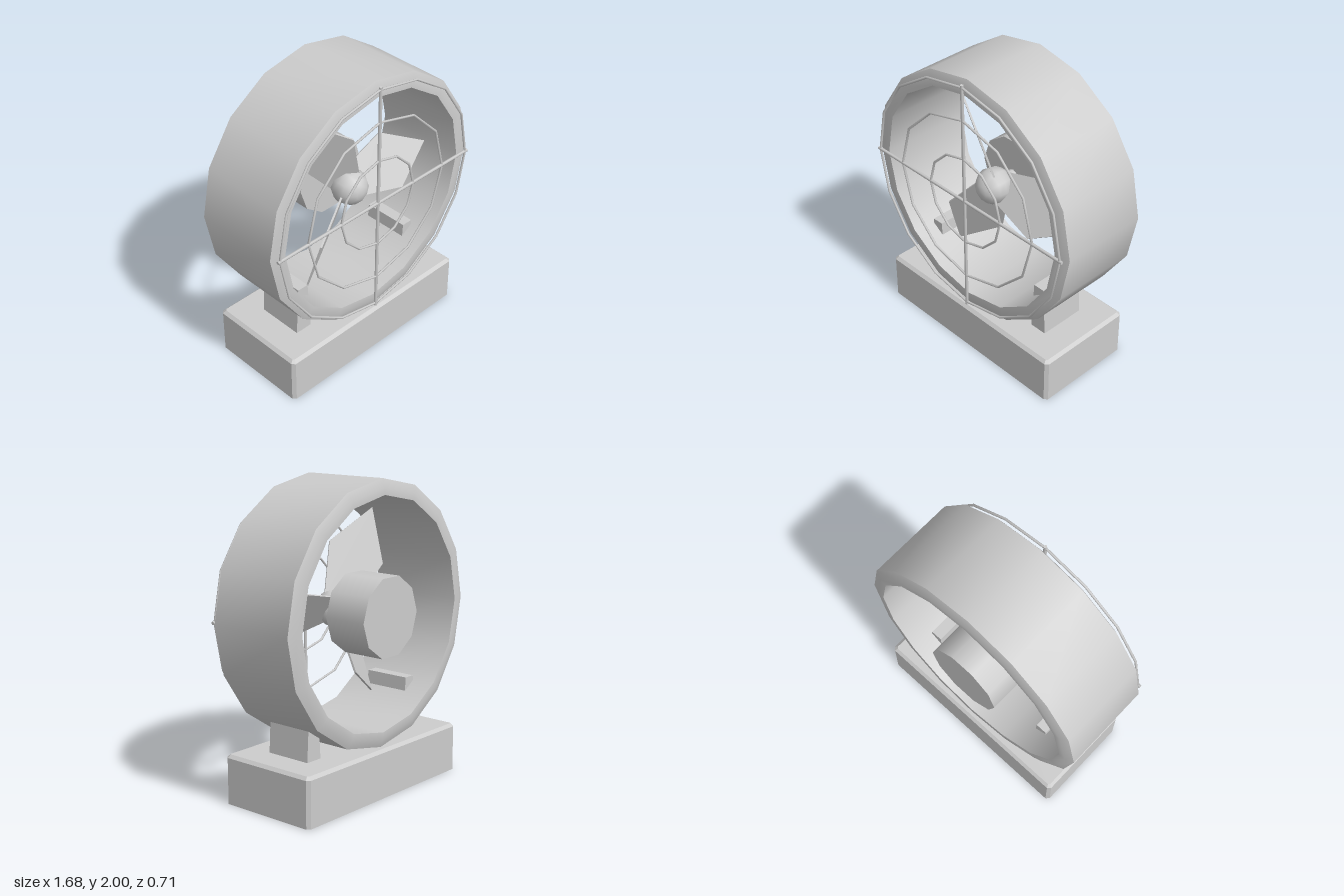
import * as THREE from 'three';
import { toCreasedNormals } from 'three/addons/utils/BufferGeometryUtils.js';

const AXIS_Y = 1.16; // height of the fan axis
const GUARD_Z = 0.346;

export function createModel() {
  const model = new THREE.Group();
  model.name = 'deskFan';
  const grey = new THREE.MeshStandardMaterial({ color: 0xcccccc, side: THREE.DoubleSide });
  grey.name = 'light grey';

  const add = (parent, name, geometry) => {
    const mesh = new THREE.Mesh(geometry, grey);
    mesh.name = name;
    parent.add(mesh);
    return mesh;
  };

  // Base: chamfered shell, open underneath
  const base = add(model, 'base', chamferedShell(0.73, 0.345, 0.3, 0.32, 0.02));
  base.position.z = 0.01;

  // Feet: tapered posts reaching into the housing
  for (const side of [1, -1]) {
    const geometry = new THREE.BoxGeometry(0.124, 0.38, 0.315);
    const p = geometry.attributes.position;
    for (let i = 0; i < p.count; i++) if (p.getY(i) > 0) p.setX(i, p.getX(i) * 0.63);
    geometry.computeVertexNormals();
    const foot = add(model, side > 0 ? 'leftFoot' : 'rightFoot', geometry);
    foot.position.set(side * 0.47, 0.47, 0.013);
  }

  const fan = new THREE.Group();
  fan.name = 'fan';
  fan.position.y = AXIS_Y;
  model.add(fan);

  // Housing: sixteen-sided ring with chamfered rims
  const profile = [
    [0.74, -0.305], [0.785, -0.305], [0.84, -0.283], [0.84, 0.305],
    [0.79, 0.325], [0.74, 0.325], [0.74, -0.305],
  ].map(([r, z]) => new THREE.Vector2(r, z));
  const ring = new THREE.LatheGeometry(profile, 16);
  ring.rotateX(Math.PI / 2);
  add(fan, 'housing', toCreasedNormals(ring, 0.45));

  // Motor and shaft
  const motor = new THREE.CylinderGeometry(0.26, 0.26, 0.295, 10, 1, false, Math.PI / 2);
  motor.rotateX(Math.PI / 2);
  add(fan, 'motor', motor).position.z = -0.2095;
  const shaft = new THREE.CylinderGeometry(0.04, 0.04, 0.14, 8);
  shaft.rotateX(Math.PI / 2);
  add(fan, 'shaft', shaft).position.z = -0.01;

  // Hub
  const hub = new THREE.SphereGeometry(0.12, 10, 8);
  hub.rotateX(Math.PI / 2);
  add(fan, 'hub', hub).position.z = 0.1;

  // Blades: three thin pitched plates
  const outline = [[0.04, -0.1], [0.385, -0.19], [0.7, 0], [0.385, 0.19], [0.04, 0.1]];
  const shape = new THREE.Shape(outline.map(([x, y]) => new THREE.Vector2(x, y)));
  const bladeGeometry = new THREE.ExtrudeGeometry(shape, { depth: 0.012, bevelEnabled: false });
  bladeGeometry.translate(0, 0, -0.006);
  bladeGeometry.rotateX(-0.6);
  for (let i = 0; i < 3; i++) {
    const blade = add(fan, 'blade', bladeGeometry);
    blade.rotation.z = (i * Math.PI * 2) / 3;
    blade.position.z = 0.08;
  }

  // Guard: concentric wire rings and two crossed bars
  const guard = new THREE.Group();
  guard.name = 'guard';
  guard.position.z = GUARD_Z;
  fan.add(guard);
  for (const [radius, sides] of [[0.31, 12], [0.578, 12], [0.8, 16]]) {
    add(guard, 'guardRing', new THREE.TorusGeometry(radius, 0.008, 6, sides));
  }
  for (const angle of [0, Math.PI / 2]) {
    const bar = add(guard, 'guardBar', new THREE.CylinderGeometry(0.011, 0.011, 1.635, 6));
    bar.rotation.z = angle;
  }
  return model;
}

// Box shell without a bottom, with cut vertical corners and a chamfered top edge
function chamferedShell(halfX, halfZ, shoulder, top, cut) {
  const loop = (x, z, y, c) => [
    [x, -z + c], [x - c, -z], [-x + c, -z], [-x, -z + c],
    [-x, z - c], [-x + c, z], [x - c, z], [x, z - c],
  ].map(([px, pz]) => [px, y, pz]);
  const loops = [
    loop(halfX, halfZ, 0, cut),
    loop(halfX, halfZ, shoulder, cut),
    loop(halfX - cut, halfZ - cut, top, cut * 0.5),
  ];
  const v = [];
  for (let i = 0; i < 8; i++) {
    const j = (i + 1) % 8;
    for (let k = 0; k < 2; k++) {
      const [a, b, c, d] = [loops[k][i], loops[k][j], loops[k + 1][j], loops[k + 1][i]];
      v.push(...a, ...b, ...c, ...a, ...c, ...d);
    }
    v.push(0, top, 0, ...loops[2][i], ...loops[2][j]);
  }
  const geometry = new THREE.BufferGeometry();
  geometry.setAttribute('position', new THREE.Float32BufferAttribute(v, 3));
  geometry.computeVertexNormals();
  return geometry;
}
